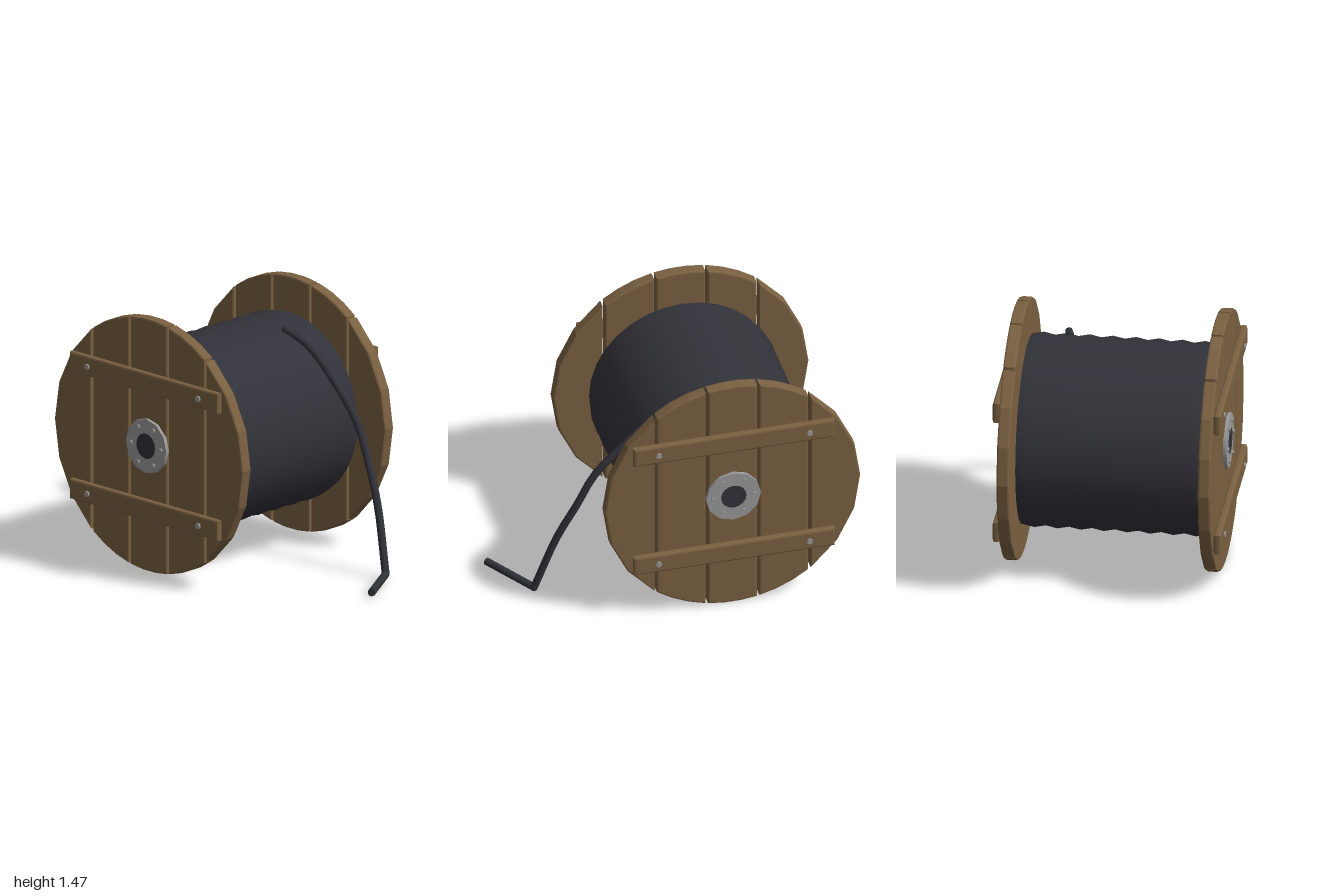
import * as THREE from 'three';
import { toCreasedNormals } from 'three/addons/utils/BufferGeometryUtils.js';

const wood = new THREE.MeshStandardMaterial({ color: 0x7a6041, name: 'wood' });
const cableBlack = new THREE.MeshStandardMaterial({ color: 0x32323a, name: 'cable black' });
const steel = new THREE.MeshStandardMaterial({ color: 0x999999, name: 'steel' });

const R = 0.737;          // flange radius
const CENTRE = [0, 0.738, -0.262];

function add(parent, geometry, material, name, x = 0, y = 0, z = 0) {
  const mesh = new THREE.Mesh(geometry, material);
  mesh.name = name;
  mesh.position.set(x, y, z);
  parent.add(mesh);
  return mesh;
}

// Bevelled slab from an outline in (z, y), with its thickness along +x
function slab(points, depth, bevel) {
  const geometry = new THREE.ExtrudeGeometry(new THREE.Shape(points), {
    depth: depth - 2 * bevel, bevelEnabled: true, bevelThickness: bevel,
    bevelSize: bevel, bevelOffset: -bevel, bevelSegments: 2,
  });
  return geometry.translate(0, 0, bevel).rotateY(Math.PI / 2);
}

// Cylinder lying along x
function disc(radius, length, sides) {
  return toCreasedNormals(new THREE.CylinderGeometry(radius, radius, length, sides).rotateZ(-Math.PI / 2), 0.7);
}

const onRim = (a) => new THREE.Vector2(R * Math.cos(a), R * Math.sin(a));

// Plank of the round flange between two chords
function plankOutline(from, to) {
  const points = [];
  const a0 = Math.acos(Math.max(-1, from / R));
  const a1 = Math.acos(Math.min(1, to / R));
  if (to >= R) {
    for (let i = -3; i <= 3; i++) points.push(onRim(a0 * i / 3));
  } else if (from <= -R) {
    for (let i = -3; i <= 3; i++) points.push(onRim(Math.PI + (Math.PI - a1) * i / 3));
  } else {
    for (let i = 0; i <= 3; i++) points.push(onRim(-a0 + (a0 - a1) * i / 3));
    for (let i = 0; i <= 3; i++) points.push(onRim(a1 + (a0 - a1) * i / 3));
  }
  return points;
}

// One end of the reel, facing +x
function makeEnd(name) {
  const end = new THREE.Group();
  end.name = name;

  // Five planks with narrow gaps
  const cuts = [-R, -0.443, -0.148, 0.148, 0.443, R];
  for (let i = 0; i < 5; i++) {
    const from = i === 0 ? -R : cuts[i] + 0.007;
    const to = i === 4 ? R : cuts[i + 1] - 0.007;
    add(end, slab(plankOutline(from, to), 0.07, 0.01), wood, 'flangePlank', 0.531);
  }

  // Two cross battens, each held by two bolts
  for (const y of [-0.368, 0.374]) {
    const h = 0.059, w = 0.58;
    const outline = [[-w, -h], [w, -h], [w, h], [-w, h]].map(([u, v]) => new THREE.Vector2(u, v));
    add(end, slab(outline, 0.042, 0.012), wood, 'batten', 0.6, y);
    for (const z of [-0.433, 0.437]) add(end, disc(0.017, 0.02, 10), steel, 'battenBolt', 0.642, y, z);
  }

  // Hub plate with a dark bore and six bolts
  add(end, disc(0.158, 0.022, 12), steel, 'hubPlate', 0.609);
  add(end, disc(0.073, 0.01, 16), cableBlack, 'hubBore', 0.618);
  for (let i = 0; i < 6; i++) {
    const a = i * Math.PI / 3;
    add(end, disc(0.013, 0.016, 8), steel, 'hubBolt', 0.623, 0.118 * Math.sin(a), 0.118 * Math.cos(a));
  }
  return end;
}

export function createModel() {
  const model = new THREE.Group();
  model.name = 'cableReel';

  const reel = new THREE.Group();
  reel.name = 'reel';
  reel.position.set(...CENTRE);
  model.add(reel);

  const leftEnd = makeEnd('leftEnd');
  const rightEnd = makeEnd('rightEnd');
  rightEnd.rotation.y = Math.PI;
  reel.add(leftEnd, rightEnd);

  // Core barrel between the flanges
  add(reel, disc(0.29, 1.066, 24), cableBlack, 'barrel');

  // Wound cable: ridged drum
  const profile = [new THREE.Vector2(0.001, -0.528), new THREE.Vector2(0.29, -0.528)];
  for (let i = 0; i <= 16; i++) {
    profile.push(new THREE.Vector2(i % 2 ? 0.547 : 0.534, -0.52 + i * 0.065));
  }
  profile.push(new THREE.Vector2(0.29, 0.528), new THREE.Vector2(0.001, 0.528));
  const winding = new THREE.LatheGeometry(profile, 32).rotateZ(-Math.PI / 2);
  add(reel, toCreasedNormals(winding, 0.7), cableBlack, 'woundCable');

  // Loose cable end, running down to the ground
  const path = [
    [0.305, 1.255, -0.08], [0.328, 1.2, 0.06], [0.338, 1.04, 0.25], [0.327, 0.82, 0.46],
    [0.312, 0.62, 0.56], [0.28, 0.4, 0.665], [0.223, 0.033, 0.785],
  ].map((p) => new THREE.Vector3(...p));
  const r = 0.022;
  const corner = path[path.length - 1];
  const tip = new THREE.Vector3(-0.086, 0.033, 0.978);
  add(model, new THREE.TubeGeometry(new THREE.CatmullRomCurve3(path), 20, r, 8), cableBlack, 'looseCable');
  add(model, new THREE.SphereGeometry(r, 10, 8), cableBlack, 'cableStart', ...path[0].toArray());
  add(model, new THREE.SphereGeometry(r, 10, 8), cableBlack, 'cableBend', ...corner.toArray());

  // Straight piece lying on the ground
  const length = corner.distanceTo(tip);
  const foot = add(model, new THREE.CylinderGeometry(r, r, length, 8), cableBlack, 'cableTip');
  foot.position.copy(corner).lerp(tip, 0.5);
  foot.quaternion.setFromUnitVectors(new THREE.Vector3(0, 1, 0), tip.clone().sub(corner).normalize());

  return model;
}
